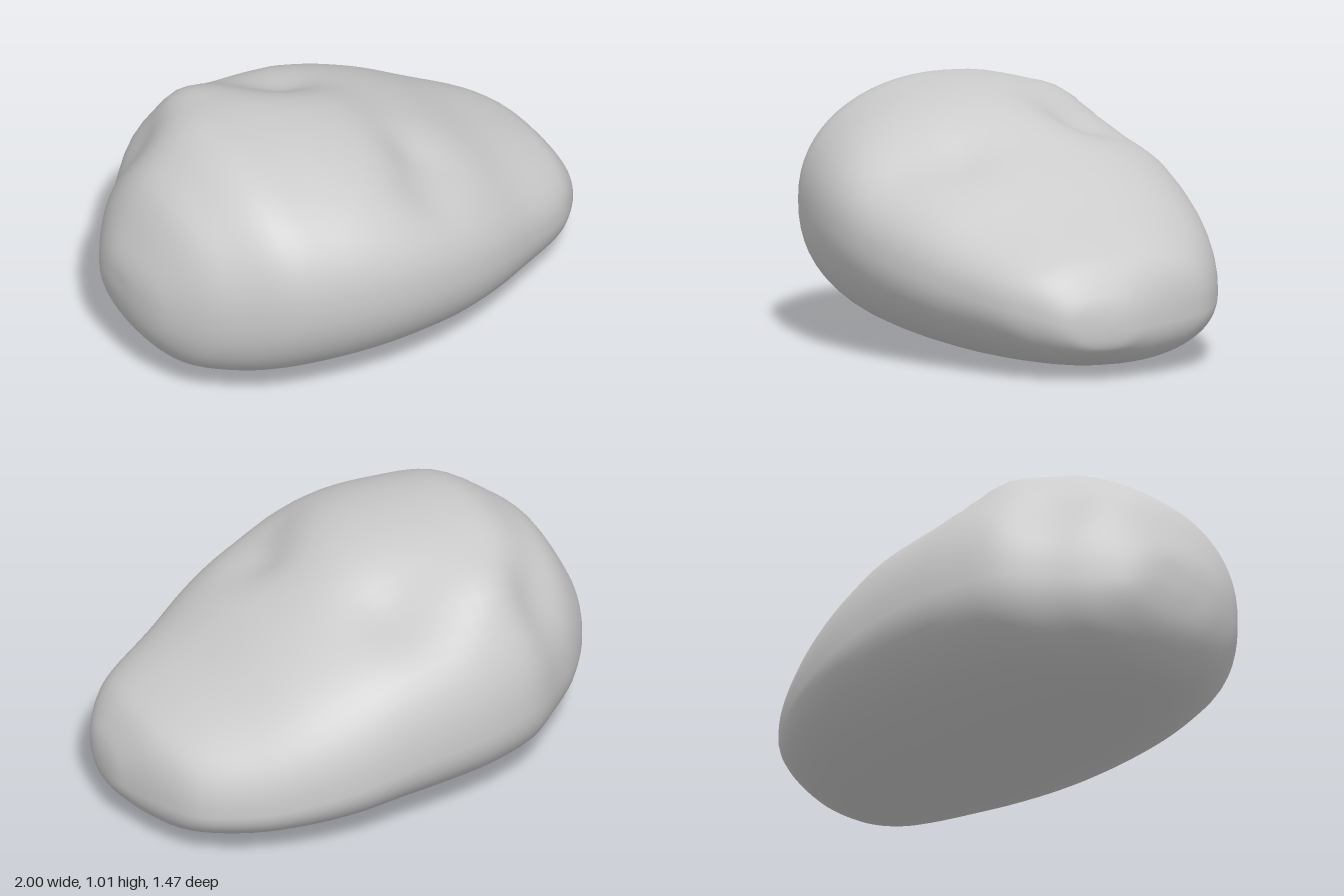
import * as THREE from 'three';

// Cross-sections along x: [x, bottom, top, back z, front z]
const STATIONS = [
  [-1, 0.45, 0.45, 0, 0],
  [-0.995, 0.36, 0.53, -0.11, 0.1],
  [-0.96, 0.24, 0.63, -0.22, 0.25],
  [-0.87, 0.125, 0.8, -0.35, 0.41],
  [-0.76, 0.07, 0.9, -0.46, 0.52],
  [-0.6, 0.035, 0.995, -0.61, 0.64],
  [-0.4, 0.015, 1.0, -0.685, 0.7],
  [-0.2, 0.008, 0.98, -0.72, 0.73],
  [0, 0.004, 0.93, -0.735, 0.725],
  [0.2, 0.0, 0.83, -0.735, 0.68],
  [0.4, 0.0, 0.73, -0.7, 0.6],
  [0.6, 0.01, 0.615, -0.63, 0.49],
  [0.8, 0.035, 0.515, -0.51, 0.38],
  [0.9, 0.065, 0.45, -0.36, 0.29],
  [0.97, 0.11, 0.345, -0.18, 0.19],
  [0.994, 0.15, 0.275, -0.09, 0.1],
  [1, 0.21, 0.21, 0, 0],
];

// Worn hollows (positive depth) and a rim (negative depth): centre, radius, depth
const DENTS = [
  { at: new THREE.Vector3(0.18, 0.76, 0.3), radius: 0.15, depth: 0.045 },
  { at: new THREE.Vector3(0.06, 0.74, 0.46), radius: 0.15, depth: 0.05 },
  { at: new THREE.Vector3(-0.1, 0.86, -0.36), radius: 0.2, depth: 0.1 },
  { at: new THREE.Vector3(-0.63, 0.75, -0.36), radius: 0.18, depth: 0.06 },
  { at: new THREE.Vector3(-0.46, 0.9, -0.4), radius: 0.13, depth: -0.035 },
];
const CORE = new THREE.Vector3(0, 0.35, 0);

// Smooth value between neighbouring stations
function sample(col, t) {
  const last = STATIONS.length - 1;
  const i = Math.min(Math.floor(t), last - 1), f = t - i;
  const at = (k) => STATIONS[THREE.MathUtils.clamp(k, 0, last)][col];
  const a = at(i - 1), b = at(i), c = at(i + 1), d = at(i + 2);
  return b + 0.5 * f * (c - a + f * (2 * a - 5 * b + 4 * c - d + f * (3 * (b - c) + d - a)));
}

const bulge = (v, p) => Math.sign(v) * Math.abs(v) ** p;

function surfacePoint(t, angle) {
  const [x, bottom, top, back, front] = [0, 1, 2, 3, 4].map((c) => sample(c, t));
  const c = Math.cos(angle), s = Math.sin(angle);
  // The widest level sits higher on the front than on the back
  const belt = bottom + (top - bottom) * (0.45 + 0.06 * c);
  // The top grows squarer towards the low end, the underside towards the tall end
  const y = s > 0
    ? belt + (top - belt) * bulge(s, 0.87 - 0.07 * x)
    : belt + (belt - bottom) * bulge(s, 0.96 + 0.07 * x);
  const square = 0.92 - 0.1 * THREE.MathUtils.smoothstep(x, 0.5, 1);
  const z = (front + back) / 2 + ((front - back) / 2) * bulge(c, square);
  const p = new THREE.Vector3(x, y, z);
  const inward = CORE.clone().sub(p).normalize();
  const push = DENTS.reduce((sum, { at, radius, depth }) =>
    sum + depth * Math.exp(-p.distanceToSquared(at) / (radius * radius)), 0);
  return p.addScaledVector(inward, push);
}

export function createModel() {
  const group = new THREE.Group();
  const around = 64, rings = (STATIONS.length - 1) * 4;
  const positions = [], index = [];

  // Rings between the two end points
  positions.push(...surfacePoint(0, 0).toArray());
  for (let r = 1; r < rings; r++) {
    for (let k = 0; k < around; k++) {
      positions.push(...surfacePoint(r / 4, (k / around) * Math.PI * 2).toArray());
    }
  }
  positions.push(...surfacePoint(STATIONS.length - 1, 0).toArray());

  const id = (r, k) => 1 + (r - 1) * around + (k % around);
  const end = positions.length / 3 - 1;
  for (let k = 0; k < around; k++) {
    index.push(0, id(1, k), id(1, k + 1));
    for (let r = 1; r < rings - 1; r++) {
      const a = id(r, k), b = id(r, k + 1), c = id(r + 1, k + 1), d = id(r + 1, k);
      index.push(a, d, b, b, d, c);
    }
    index.push(id(rings - 1, k), end, id(rings - 1, k + 1));
  }

  const geometry = new THREE.BufferGeometry();
  geometry.setAttribute('position', new THREE.Float32BufferAttribute(positions, 3));
  geometry.setIndex(index);
  geometry.computeVertexNormals();

  const boulder = new THREE.Mesh(geometry, new THREE.MeshStandardMaterial({ color: 0xcccccc }));
  boulder.name = 'boulder';
  group.add(boulder);
  return group;
}
